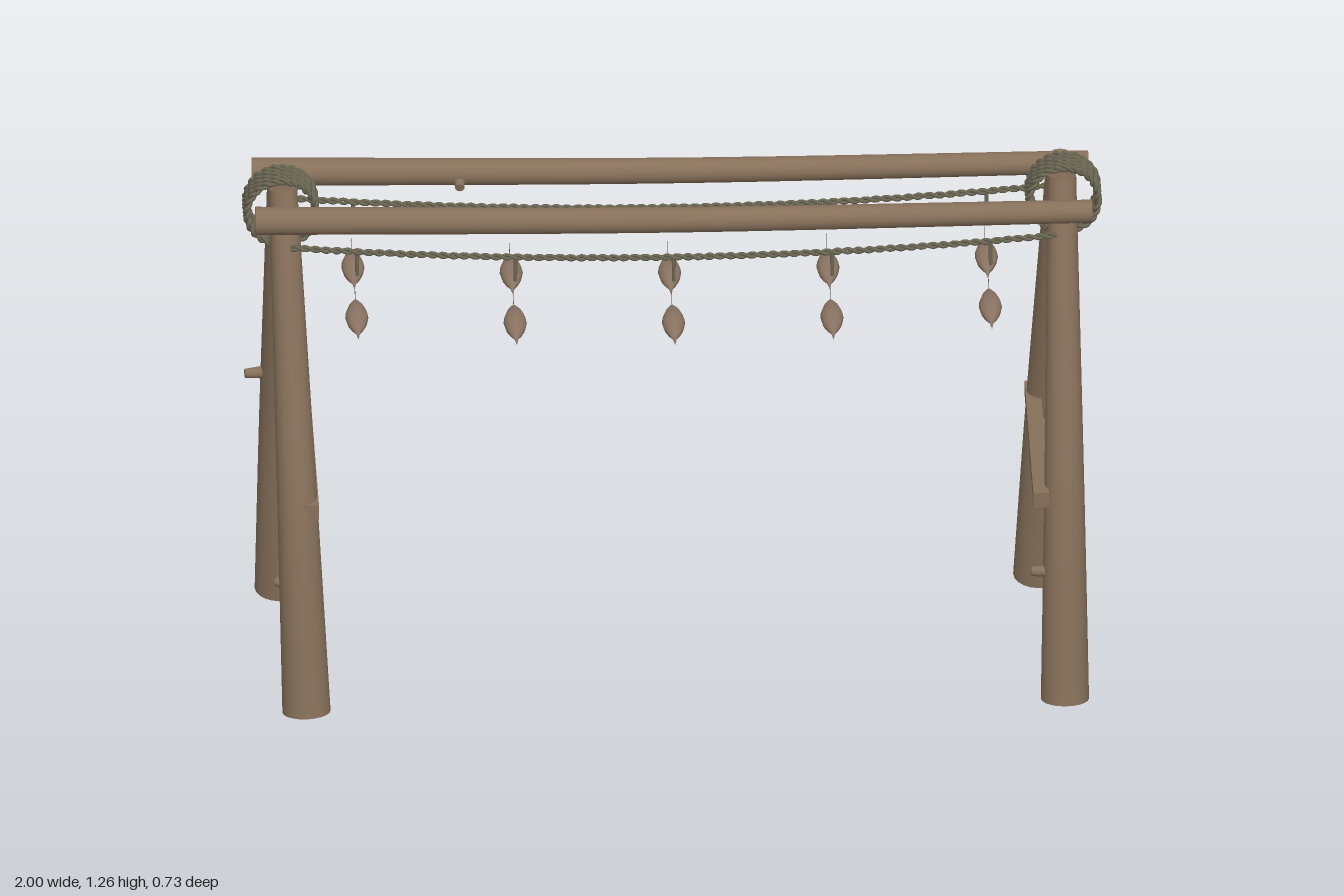
import * as THREE from 'three';

const mat = (color) => new THREE.MeshStandardMaterial({ color, roughness: 0.9 });
const V = (x, y, z) => new THREE.Vector3(x, y, z);

// Closed pole swept along a curve, tapering from r0 to r1
function poleGeometry(curve, r0, r1, sides = 20, steps = 20) {
  const geo = new THREE.CylinderGeometry(1, 1, 1, sides, steps);
  const pos = geo.attributes.position, nor = geo.attributes.normal;
  const n0 = V(0, 0, 0);
  for (let i = 0; i < pos.count; i++) {
    const t = THREE.MathUtils.clamp(pos.getY(i) + 0.5, 0, 1);
    const c = curve.getPointAt(t), T = curve.getTangentAt(t);
    const ref = Math.abs(T.y) > 0.7 ? V(1, 0, 0) : V(0, 1, 0);
    const N = V(0, 0, 0).crossVectors(ref, T).normalize();
    const B = V(0, 0, 0).crossVectors(T, N);
    const r = r0 + (r1 - r0) * t;
    c.addScaledVector(B, pos.getX(i) * r).addScaledVector(N, pos.getZ(i) * r);
    n0.set(0, 0, 0).addScaledVector(B, nor.getX(i)).addScaledVector(T, nor.getY(i)).addScaledVector(N, nor.getZ(i));
    pos.setXYZ(i, c.x, c.y, c.z);
    nor.setXYZ(i, n0.x, n0.y, n0.z);
  }
  return geo;
}

// Two strands twisted around a guide curve
function twistedRope(name, curve, twists, offset, radius, material) {
  const group = new THREE.Group();
  group.name = name;
  const n = twists * 8;
  const frames = curve.computeFrenetFrames(n, false);
  for (let s = 0; s < 2; s++) {
    const pts = [];
    for (let i = 0; i <= n; i++) {
      const a = (i / 8 + s / 2) * Math.PI * 2;
      pts.push(curve.getPointAt(i / n)
        .addScaledVector(frames.normals[i], Math.cos(a) * offset)
        .addScaledVector(frames.binormals[i], Math.sin(a) * offset));
    }
    const geo = new THREE.TubeGeometry(new THREE.CatmullRomCurve3(pts), n, radius, 5);
    const strand = new THREE.Mesh(geo, material);
    strand.name = 'ropeStrand';
    group.add(strand);
  }
  return group;
}

export function createModel() {
  const root = new THREE.Group();
  root.name = 'fishDryingRack';
  const wood = mat(0x86705a), rope = mat(0x6c6854), skin = mat(0x8a7462);
  const tailMat = mat(0x8a7462);
  tailMat.side = THREE.DoubleSide;

  const add = (name, geo, material, parent = root) => {
    const m = new THREE.Mesh(geo, material);
    m.name = name;
    parent.add(m);
    return m;
  };

  // Bowed legs, two leaning together at each end
  for (const sx of [-1, 1]) {
    for (const sz of [-1, 1]) {
      const foot = sx * sz < 0 ? 0.86 : 0.902;
      const path = [[0.008, 0.31], [0.5, 0.24], [0.9, 0.138], [1.24, 0.042]].map(
        ([y, z]) => V(sx * (foot + (0.905 - foot) * y / 1.24), y, sz * z));
      add('leg', poleGeometry(new THREE.CatmullRomCurve3(path), 0.056, 0.033), wood);
    }

    // Cross brace between the legs
    add('crossBrace', new THREE.BoxGeometry(0.036, 0.038, 0.56), wood).position.set(sx * 0.848, 0.513, 0);

    // Rope lashing coiled around the leg tops
    const coil = [];
    for (let i = 0; i <= 120; i++) {
      const a = (i / 24) * Math.PI * 2;
      coil.push(V(sx * 0.909 + 0.08 * Math.cos(a), 1.172 + 0.08 * Math.sin(a), -0.043 + 0.086 * i / 120));
    }
    root.add(twistedRope('lashing', new THREE.CatmullRomCurve3(coil), 60, 0.005, 0.005, rope));
  }

  // Long top rails, slightly bowed toward the front
  for (const z of [0.115, -0.13]) {
    const path = [V(-0.972, 1.195, z), V(0, 1.192, z + 0.024), V(0.972, 1.183, z)];
    add('topRail', poleGeometry(new THREE.CatmullRomCurve3(path), 0.033, 0.027, 16), wood);
  }

  // Small branch stubs: position, then outward direction
  const stubs = [
    [V(-0.965, 0.63, -0.2), V(-1, 0, 0.1)],
    [V(-0.91, 0.305, 0.235), V(-1, 0, -0.6)],
    [V(0.845, 0.325, 0.275), V(-1, 0, 0)],
    [V(0.87, 0.463, -0.192), V(0, 0, 1)],
    [V(-0.49, 1.18, -0.09), V(0, -0.3, 1)],
  ];
  for (const [p, d] of stubs) {
    const stub = add('branchStub', new THREE.CylinderGeometry(0.011, 0.015, 0.04, 10), wood);
    stub.position.copy(p);
    stub.quaternion.setFromUnitVectors(V(0, 1, 0), d.normalize());
  }

  // Fish shape: spindle body with a thin snout, and a flat diamond tail
  const profile = [[0, -0.09], [0.005, -0.085], [0.016, -0.06], [0.025, -0.025], [0.027, 0],
    [0.023, 0.03], [0.014, 0.058], [0.005, 0.078], [0.003, 0.09], [0, 0.11]];
  const bodyGeo = new THREE.LatheGeometry(profile.map(([r, y]) => new THREE.Vector2(r, y)), 12);
  bodyGeo.rotateX(Math.PI / 2).scale(1, 0.75, 1);
  const tailGeo = new THREE.ShapeGeometry(new THREE.Shape([
    new THREE.Vector2(0.084, 0), new THREE.Vector2(0.11, 0.033),
    new THREE.Vector2(0.135, 0), new THREE.Vector2(0.11, -0.033)]));
  tailGeo.rotateY(Math.PI / 2);

  // Sagging lines with short hanging strings and the row of fish below
  for (const side of [1, -1]) {
    const z = side * 0.124;
    const ropeY = (x) => 1.086 + 0.042 * (x / 0.9) ** 2;
    const line = [];
    for (let i = 0; i <= 12; i++) {
      const x = -0.89 + 1.78 * i / 12;
      line.push(V(x, ropeY(x), z));
    }
    root.add(twistedRope('hangingLine', new THREE.CatmullRomCurve3(line), 36, 0.0045, 0.0045, rope));

    for (let i = -2; i <= 2; i++) {
      const x = i * 0.368, y = ropeY(x);
      add('hangingString', new THREE.CylinderGeometry(0.005, 0.004, 0.065, 8), rope).position.set(x, y - 0.03, z);
      const fish = new THREE.Group();
      fish.name = 'fish';
      add('fishBody', bodyGeo, skin, fish);
      add('fishTail', tailGeo, tailMat, fish);
      fish.position.set(x, y - 0.181, side > 0 ? 0.11 : -0.14);
      root.add(fish);
    }
  }
  return root;
}
